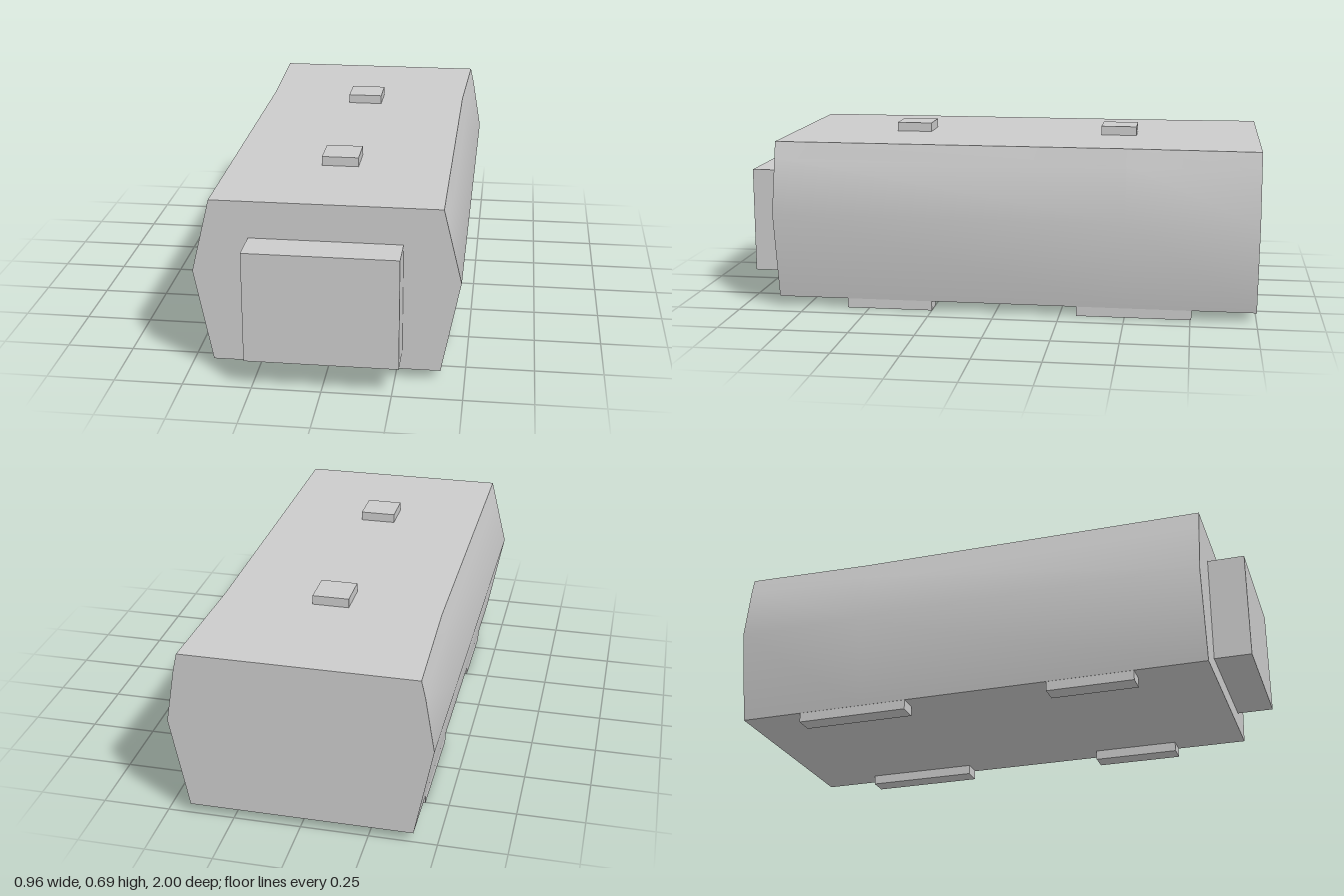
import * as THREE from 'three';
import { toCreasedNormals } from 'three/addons/utils/BufferGeometryUtils.js';

const material = new THREE.MeshStandardMaterial({ color: 0xcccccc });

// Box given by its extents on each axis
function addBox(parent, name, [x0, x1], [y0, y1], [z0, z1]) {
  const mesh = new THREE.Mesh(new THREE.BoxGeometry(x1 - x0, y1 - y0, z1 - z0), material);
  mesh.position.set((x0 + x1) / 2, (y0 + y1) / 2, (z0 + z1) / 2);
  mesh.name = name;
  parent.add(mesh);
}

// Hull lofted through mirrored cross-sections; shoulders widen toward the rear
function hullGeometry() {
  const heights = [0.037, 0.382, 0.59, 0.655];
  const sections = [
    { z: 0.86, half: [0.413, 0.48, 0.429, 0.413] },
    { z: -0.5, half: [0.413, 0.48, 0.429, 0.413] },
    { z: -1, half: [0.413, 0.48, 0.445, 0.43] },
  ];
  const n = heights.length * 2;
  const positions = [];
  const index = [];
  for (const { z, half } of sections) {
    half.forEach((x, i) => positions.push(x, heights[i], z));
    for (let i = half.length - 1; i >= 0; i--) positions.push(-half[i], heights[i], z);
  }
  for (let s = 0; s < sections.length - 1; s++) {
    for (let j = 0; j < n; j++) {
      const a = s * n + j, b = s * n + (j + 1) % n;
      index.push(a, a + n, b, b, a + n, b + n);
    }
  }
  // End caps
  const back = (sections.length - 1) * n;
  for (let k = 1; k < n - 1; k++) {
    index.push(0, k, k + 1);
    index.push(back, back + k + 1, back + k);
  }
  const geometry = new THREE.BufferGeometry();
  geometry.setAttribute('position', new THREE.Float32BufferAttribute(positions, 3));
  geometry.setIndex(index);
  return toCreasedNormals(geometry, 0.7);
}

export function createModel() {
  const group = new THREE.Group();
  group.name = 'container';

  const hull = new THREE.Mesh(hullGeometry(), material);
  hull.name = 'hull';
  group.add(hull);

  // Raised block on the front
  addBox(group, 'frontBlock', [-0.275, 0.275], [0.106, 0.518], [0.86, 1]);

  // Roof blocks
  for (const z of [0.38, -0.45]) {
    addBox(group, 'roofBlock', [-0.069, 0.069], [0.655, 0.69], [z - 0.07, z + 0.07]);
  }

  // Skids along the bottom edges
  for (const zRange of [[0.25, 0.585], [-0.755, -0.315]]) {
    addBox(group, 'leftSkid', [0.338, 0.412], [0, 0.037], zRange);
    addBox(group, 'rightSkid', [-0.412, -0.338], [0, 0.037], zRange);
  }
  return group;
}
